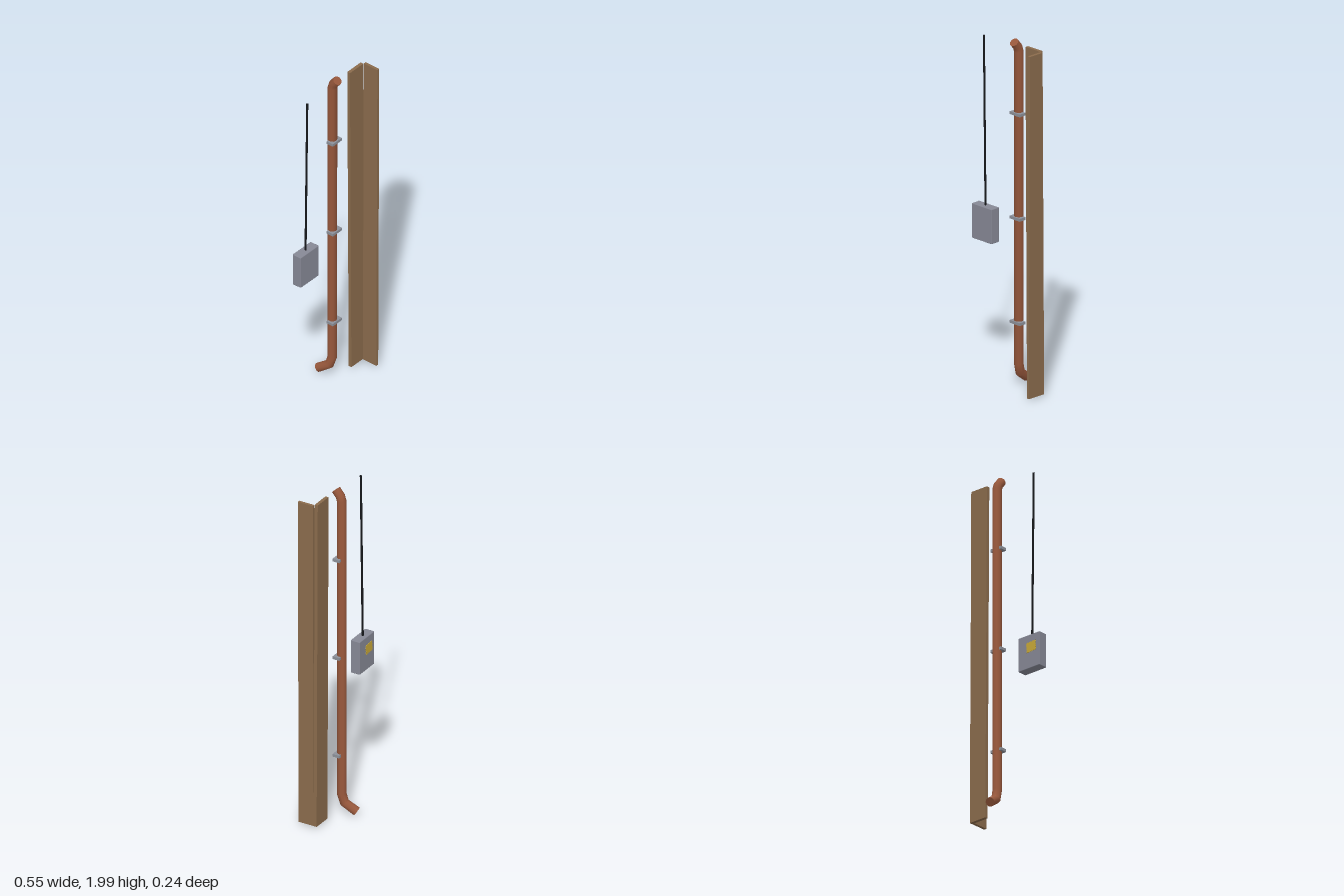
import * as THREE from 'three';
import { toCreasedNormals } from 'three/addons/utils/BufferGeometryUtils.js';
import { RoundedBoxGeometry } from 'three/addons/geometries/RoundedBoxGeometry.js';

const material = (name, color) => {
  const m = new THREE.MeshStandardMaterial({ color });
  m.name = name;
  return m;
};

// Round bar swept along a polyline, closed at both ends
function sweep(points, radius, sides) {
  const path = points.map((p) => new THREE.Vector3(...p));
  const pos = [];
  const index = [];
  path.forEach((p, i) => {
    const t = new THREE.Vector3();
    if (i > 0) t.add(p.clone().sub(path[i - 1]).normalize());
    if (i < path.length - 1) t.add(path[i + 1].clone().sub(p).normalize());
    t.normalize();
    const u = new THREE.Vector3(1, 0, 0);
    u.addScaledVector(t, -u.dot(t)).normalize();
    const v = t.clone().cross(u);
    for (let k = 0; k < sides; k++) {
      const a = ((k + 0.5) / sides) * Math.PI * 2;
      const q = p.clone().addScaledVector(u, Math.cos(a) * radius).addScaledVector(v, Math.sin(a) * radius);
      pos.push(q.x, q.y, q.z);
    }
  });
  for (let i = 0; i < path.length - 1; i++) {
    for (let k = 0; k < sides; k++) {
      const a = i * sides + k;
      const b = i * sides + ((k + 1) % sides);
      index.push(a, b, b + sides, a, b + sides, a + sides);
    }
  }
  const last = (path.length - 1) * sides;
  for (let k = 1; k < sides - 1; k++) {
    index.push(0, k + 1, k, last, last + k, last + k + 1);
  }
  const g = new THREE.BufferGeometry();
  g.setAttribute('position', new THREE.Float32BufferAttribute(pos, 3));
  g.setIndex(index);
  return toCreasedNormals(g, 0.8);
}

// Plate outline with a zigzag edge
function zigzagShape(width, height, teeth, depth) {
  const corners = [[-1, -1], [1, -1], [1, 1], [-1, 1]];
  const pts = [];
  corners.forEach(([x, y], c) => {
    const [nx, ny] = corners[(c + 1) % 4];
    for (let i = 0; i < teeth * 2; i++) {
      const f = i / (teeth * 2);
      const inset = i % 2 ? depth : 0;
      const px = (x + (nx - x) * f) * width / 2;
      const py = (y + (ny - y) * f) * height / 2;
      // pull every second point toward the middle of the plate
      pts.push(new THREE.Vector2(
        px - (x === nx ? Math.sign(x) * inset : 0),
        py - (y === ny ? Math.sign(y) * inset : 0)));
    }
  });
  return new THREE.Shape(pts);
}

export function createModel() {
  const model = new THREE.Group();
  model.name = 'wallFittings';
  const wood = material('wood brown', 0x8a6b4c);
  const rust = material('rust red', 0x98583c);
  const steel = material('steel grey', 0x868895);
  const clampGrey = material('clamp grey', 0x8c9099);
  const black = material('cable black', 0x15171a);
  const yellow = material('label yellow', 0xc8a838);

  const add = (name, geometry, mat, x = 0, y = 0, z = 0, parent = model) => {
    const mesh = new THREE.Mesh(geometry, mat);
    mesh.name = name;
    mesh.position.set(x, y, z);
    parent.add(mesh);
    return mesh;
  };

  // Drain pipe, bent forward at the top and back at the foot
  add('pipe', sweep([
    [0.022, 0.023, -0.107],
    [0.04, 0.068, -0.04],
    [0.045, 0.125, -0.024],
    [0.045, 1.92, -0.024],
    [0.045, 1.947, -0.016],
    [0.045, 1.979, 0.011],
  ], 0.026, 10), rust);

  // Pipe clamps
  for (const y of [0.365, 0.965, 1.565]) {
    add('pipeClamp', new THREE.BoxGeometry(0.077, 0.016, 0.043), clampGrey, 0.047, y, -0.0125);
  }

  // Two corner boards leaning slightly apart
  add('backBoard', new THREE.BoxGeometry(0.113, 1.97, 0.019), wood, 0.203, 0.995, 0.01).rotation.z = 0.006;
  add('sideBoard', new THREE.BoxGeometry(0.016, 1.97, 0.095), wood, 0.2605, 0.995, 0.0675).rotation.z = -0.0045;

  // Junction box with its cable and rear label
  const box = new THREE.Group();
  box.name = 'junctionBox';
  model.add(box);
  add('boxBody', new RoundedBoxGeometry(0.154, 0.2, 0.058, 1, 0.004), steel, -0.198, 0.875, -0.01, box);
  add('cable', sweep([[-0.198, 0.965, -0.011], [-0.198, 1.955, 0.001]], 0.006, 8), black, 0, 0, 0, box);
  const label = new THREE.ExtrudeGeometry(zigzagShape(0.07, 0.062, 6, 0.004), { depth: 0.002, bevelEnabled: false });
  const labelMesh = add('warningLabel', label, yellow, -0.216, 0.9, -0.039, box);
  labelMesh.rotation.set(0, Math.PI, 0.06);

  return model;
}
